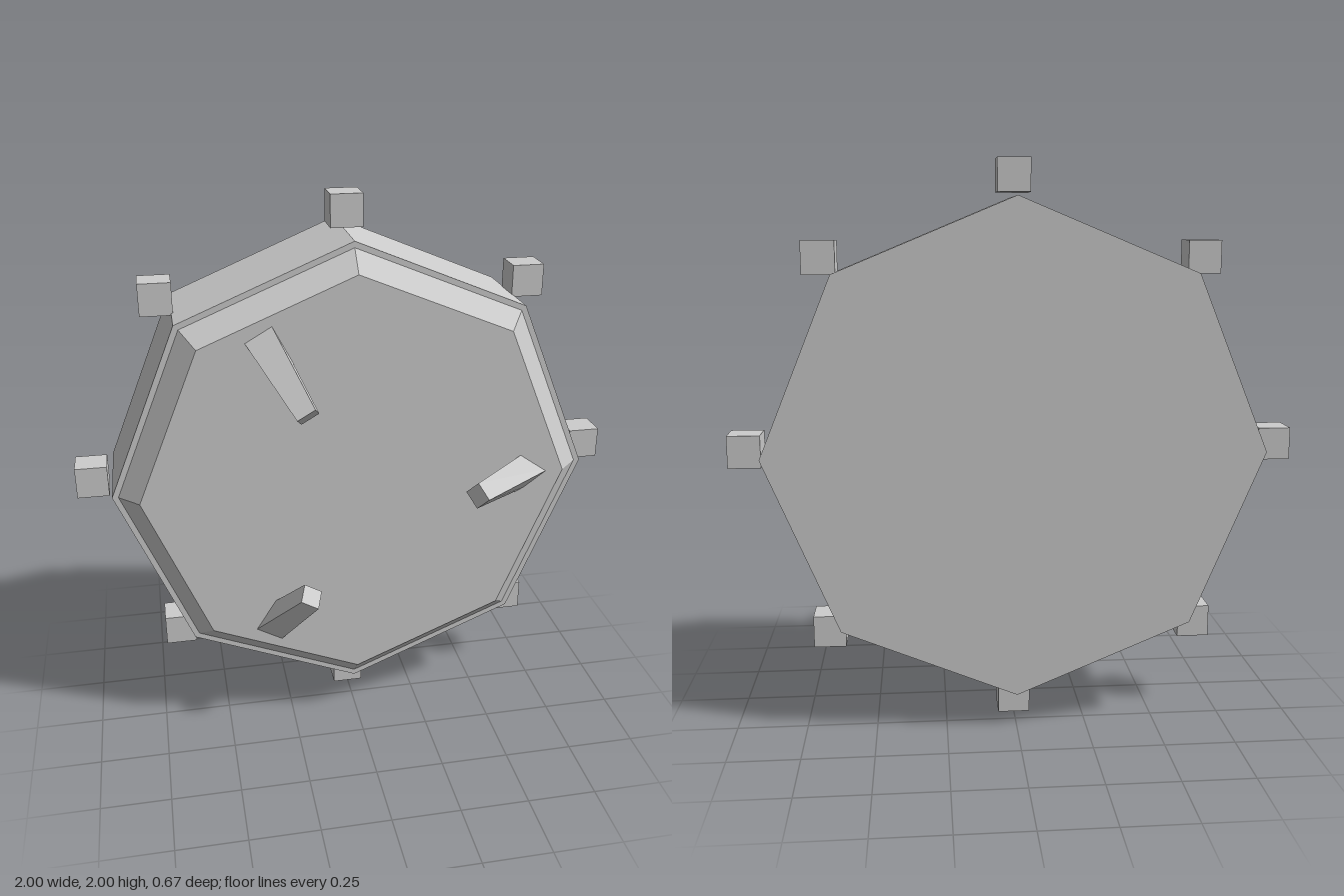
import * as THREE from 'three';

export function createModel() {
  const model = new THREE.Group();
  const grey = new THREE.MeshStandardMaterial({ color: 0xcccccc });
  grey.name = 'plain grey';
  grey.flatShading = true;

  const body = new THREE.Group();
  body.name = 'body';
  body.position.y = 1;
  model.add(body);

  const add = (name, geometry, x = 0, y = 0, z = 0) => {
    const mesh = new THREE.Mesh(geometry, grey);
    mesh.name = name;
    mesh.position.set(x, y, z);
    body.add(mesh);
    return mesh;
  };

  // Octagonal slab between two depths, with its corners on the axes
  const octagon = (name, backRadius, frontRadius, z0, z1) =>
    add(name, new THREE.CylinderGeometry(frontRadius, backRadius, z1 - z0, 8).rotateX(Math.PI / 2),
      0, 0, (z0 + z1) / 2);
  octagon('drum', 0.87, 0.87, -0.335, 0.063);
  octagon('bevelledFace', 0.848, 0.775, 0.063, 0.135);

  // Floating cubes off each corner
  for (let i = 0; i < 8; i++) {
    const a = (i * Math.PI) / 4;
    add('cornerCube', new THREE.BoxGeometry(0.115, 0.115, 0.115),
      0.9425 * Math.cos(a), 0.9425 * Math.sin(a), -0.135);
  }

  // Tapered four-sided claws leaning towards the centre, roots sunk in the face
  const length = 0.37;
  const lean = new THREE.Matrix4().makeBasis(
    new THREE.Vector3(0.6, 0, 0.8),
    new THREE.Vector3(-0.8, 0, 0.6),
    new THREE.Vector3(0, -1, 0)
  ).setPosition(0.4, 0, 0.291);
  for (let i = 0; i < 3; i++) {
    const roll = i === 0 ? 0 : Math.PI / 4;
    const geometry = new THREE.CylinderGeometry(0.05, 0.05, length, 4, 1, false, roll);
    geometry.translate(0, -length / 2, 0);
    const p = geometry.attributes.position;
    for (let v = 0; v < p.count; v++) {
      if (p.getY(v) < -0.1) p.setXYZ(v, p.getX(v) * 1.25, p.getY(v), p.getZ(v) * 1.6);
    }
    geometry.applyMatrix4(lean);
    geometry.computeVertexNormals();
    add('claw', geometry).rotation.z = (i * 2 * Math.PI) / 3;
  }

  return model;
}
